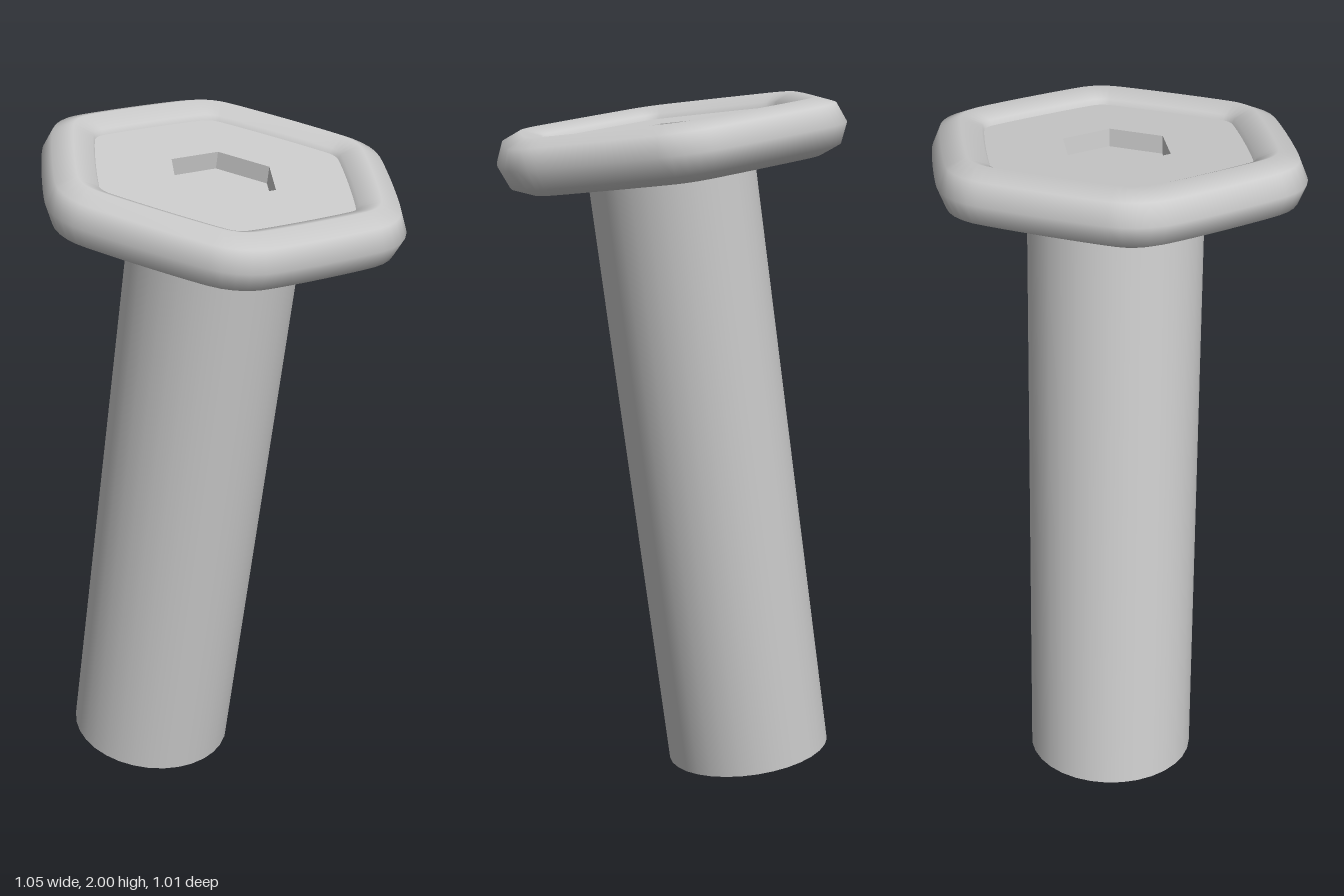
import * as THREE from 'three';

const TURN = THREE.MathUtils.degToRad(9.5); // rotation of the hexagons about the axis
const STEP = Math.PI / 3;

const polar = (radius, angle) => new THREE.Vector2(radius * Math.cos(angle), radius * Math.sin(angle));
const hexagon = (radius) => Array.from({ length: 6 }, (_, i) => polar(radius, TURN + i * STEP));

// Closed centreline of the rim: a hexagon with rounded corners and slightly bowed sides
function rimCurve(apothem, cornerRadius, bow) {
  const points = [];
  for (let i = 0; i < 6; i++) {
    const angle = TURN + i * STEP;
    const centre = polar((apothem - cornerRadius) / Math.cos(STEP / 2), angle);
    for (let k = -2; k <= 2; k++) {
      points.push(polar(cornerRadius, angle + k * STEP / 4).add(centre));
    }
    points.push(polar(apothem + bow, angle + STEP / 2));
  }
  return new THREE.CatmullRomCurve3(points.map((p) => new THREE.Vector3(p.x, 0, p.y)), true);
}

export function createModel() {
  const material = new THREE.MeshStandardMaterial({ color: 0xcccccc });
  const bolt = new THREE.Group();
  bolt.name = 'bolt';
  const add = (name, geometry) => {
    const mesh = new THREE.Mesh(geometry, material);
    mesh.name = name;
    bolt.add(mesh);
  };

  // Shaft: its top cap is also the floor of the hexagonal socket
  const shaftTop = -0.008, shaftBottom = -1.843;
  const shaft = new THREE.CylinderGeometry(0.241, 0.241, shaftTop - shaftBottom, 32);
  shaft.translate(0, (shaftTop + shaftBottom) / 2, 0);
  add('shaft', shaft);

  // Head plate with a hexagonal socket, its edge buried in the rim
  const half = 0.042;
  const outline = new THREE.Shape(hexagon(0.45));
  outline.holes.push(new THREE.Path(hexagon(0.157).reverse()));
  const plate = new THREE.ExtrudeGeometry(outline, { depth: 2 * half, bevelEnabled: false });
  plate.rotateX(Math.PI / 2).translate(0, half, 0);
  add('headPlate', plate);

  // Raised rounded rim
  add('headRim', new THREE.TubeGeometry(rimCurve(0.406, 0.12, 0.004), 120, 0.08, 8, true));

  // The whole bolt leans towards the front
  const axis = new THREE.Vector3(0.027, 1, 0.147).normalize();
  bolt.quaternion.setFromUnitVectors(new THREE.Vector3(0, 1, 0), axis);
  bolt.position.y = 1.86;

  const model = new THREE.Group();
  model.name = 'model';
  model.add(bolt);
  return model;
}
